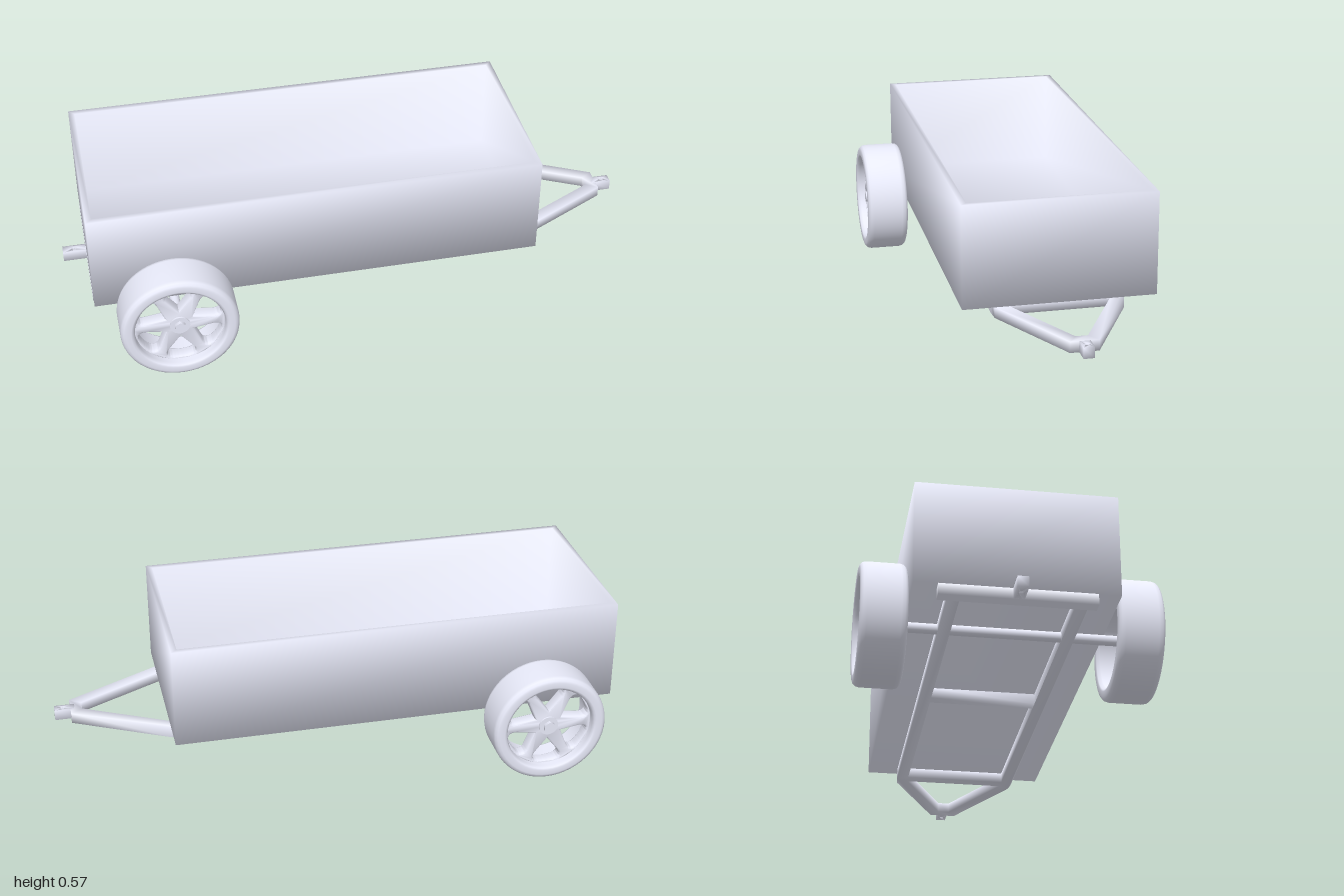
import * as THREE from 'three';
import { mergeVertices, toCreasedNormals } from 'three/addons/utils/BufferGeometryUtils.js';

const paint = new THREE.MeshStandardMaterial({ color: 0xe8eaf9 });
const AXLE_X = -0.65, AXLE_Y = 0.2, WHEEL_Z = 0.405;

function add(parent, name, geometry, x = 0, y = 0, z = 0) {
  const mesh = new THREE.Mesh(geometry, paint);
  mesh.name = name;
  mesh.position.set(x, y, z);
  parent.add(mesh);
  return mesh;
}

const polygon = (pts) => pts.map(([x, y]) => new THREE.Vector2(x, y));

// Weld all corners so the shading runs softly over the edges
function soften(geometry) {
  geometry.deleteAttribute('normal');
  geometry.deleteAttribute('uv');
  const g = mergeVertices(geometry);
  g.computeVertexNormals();
  return g;
}

// Flat plan outline with holes, extruded upwards
function plate(outline, holes, height) {
  const shape = new THREE.Shape(polygon(outline));
  shape.holes.push(...holes);
  const g = new THREE.ExtrudeGeometry(shape, { depth: height, bevelEnabled: false, curveSegments: 10 });
  return soften(g.rotateX(-Math.PI / 2));
}

const rectangle = (x0, x1, z) => [[x0, -z], [x1, -z], [x1, z], [x0, z]];

// Open bin as one softly shaded shell: outer wall, lip, inner wall, floor
function binGeometry() {
  // inset, height, and the outward and upward lean of the corner normals
  const profile = [[0, 0.22, 1, -1], [0, 0.574, 1, 1], [0.021, 0.574, -1, 3], [0.021, 0.235, -1, 1]];
  const corners = [[1, 1], [1, -1], [-1, -1], [-1, 1]];
  const pos = [], normal = [], index = [];
  for (const [inset, y, out, up] of profile) {
    for (const [sx, sz] of corners) {
      pos.push(-0.149 + sx * (0.77 - inset), y, -0.002 + sz * (0.325 - inset));
      normal.push(sx * out, up, sz * out);
    }
  }
  for (let r = 0; r < 3; r++) {
    for (let c = 0; c < 4; c++) {
      const a = r * 4 + c, b = r * 4 + (c + 1) % 4;
      index.push(a, b, b + 4, a, b + 4, a + 4);
    }
  }
  index.push(0, 2, 1, 0, 3, 2, 12, 13, 14, 12, 14, 15);
  const g = new THREE.BufferGeometry();
  g.setAttribute('position', new THREE.Float32BufferAttribute(pos, 3));
  g.setAttribute('normal', new THREE.Float32BufferAttribute(normal, 3));
  g.setIndex(index);
  g.normalizeNormals();
  return g;
}

// Hollow tyre and rim barrel, turned around z
function tyreGeometry() {
  const w = 0.075;
  const pts = [
    [0.152, -w + 0.012], [0.158, -w + 0.002], [0.165, -w], [0.182, -w], [0.19, -w + 0.003],
    [0.197, -w + 0.01], [0.2, -w + 0.022], [0.2, w - 0.022], [0.197, w - 0.01], [0.19, w - 0.003],
    [0.182, w], [0.165, w], [0.158, w - 0.002], [0.152, w - 0.012], [0.152, -w + 0.012],
  ];
  return new THREE.LatheGeometry(polygon(pts), 56).rotateX(Math.PI / 2);
}

// Six rounded spokes: a disc with three-sided windows
function spokeGeometry() {
  const disc = new THREE.Shape().absarc(0, 0, 0.157, 0, Math.PI * 2, false);
  const at = (r, a) => [r * Math.cos(a), r * Math.sin(a)];
  for (let i = 0; i < 6; i++) {
    const mid = (i + 0.5) * Math.PI / 3;
    const hole = new THREE.Path();
    hole.moveTo(...at(0.052, mid));
    hole.lineTo(...at(0.115, mid + 0.38));
    hole.quadraticCurveTo(...at(0.147, mid + 0.42), ...at(0.147, mid + 0.22));
    hole.absarc(0, 0, 0.147, mid + 0.22, mid - 0.22, true);
    hole.quadraticCurveTo(...at(0.147, mid - 0.42), ...at(0.115, mid - 0.38));
    hole.lineTo(...at(0.052, mid));
    disc.holes.push(hole);
  }
  const g = new THREE.ExtrudeGeometry(disc, {
    depth: 0.02, bevelThickness: 0.014, bevelSize: 0.007, bevelOffset: -0.005, bevelSegments: 3, curveSegments: 12,
  });
  return toCreasedNormals(g, 1.1);
}

function createWheel(name) {
  const wheel = new THREE.Group();
  wheel.name = name;
  add(wheel, 'tyre', tyreGeometry());
  add(wheel, 'spokes', spokeGeometry(), 0, 0, 0.01);
  const barrel = (r, len, sides) => new THREE.CylinderGeometry(r, r, len, sides).rotateX(Math.PI / 2);
  add(wheel, 'hub', barrel(0.034, 0.06, 24), 0, 0, 0.02);
  add(wheel, 'hubNut', barrel(0.02, 0.014, 6), 0, 0, 0.055);
  return wheel;
}

export function createModel() {
  const trailer = new THREE.Group();
  trailer.name = 'trailer';

  add(trailer, 'bin', binGeometry());

  // Ladder frame running into the triangular drawbar
  const outline = [
    [-0.9, -0.22], [0.58, -0.22], [0.62, -0.216], [0.945, -0.047],
    [0.945, 0.047], [0.62, 0.216], [0.58, 0.22], [-0.9, 0.22],
  ];
  const gaps = [
    rectangle(-0.88, -0.17, 0.18),
    rectangle(-0.13, 0.56, 0.18),
    [[0.6, -0.178], [0.905, -0.02], [0.905, 0.02], [0.6, 0.178]],
  ].map((pts) => new THREE.Path(polygon(pts)));
  add(trailer, 'frame', plate(outline, gaps, 0.037), 0, 0.183, 0);
  add(trailer, 'rearBar', soften(new THREE.BoxGeometry(0.04, 0.038, 0.5)), -0.9, 0.201, 0);

  // Hitch tongues with a pin hole at each end
  for (const [name, x0, x1, holeX] of [['frontHitch', 0.93, 1, 0.972], ['rearHitch', -1, -0.9, -0.96]]) {
    const hole = new THREE.Path().absarc(holeX, 0, 0.008, 0, Math.PI * 2, true);
    add(trailer, name, plate(rectangle(x0, x1, 0.018), [hole], 0.036), 0, 0.184, 0);
  }

  // Axle and wheels
  add(trailer, 'axle', new THREE.CylinderGeometry(0.017, 0.017, 0.82, 16).rotateX(Math.PI / 2), AXLE_X, AXLE_Y, 0);
  for (const side of [1, -1]) {
    const wheel = createWheel(side > 0 ? 'frontSideWheel' : 'backSideWheel');
    wheel.position.set(AXLE_X, AXLE_Y, side * WHEEL_Z);
    if (side < 0) wheel.rotation.y = Math.PI;
    trailer.add(wheel);
  }
  return trailer;
}
